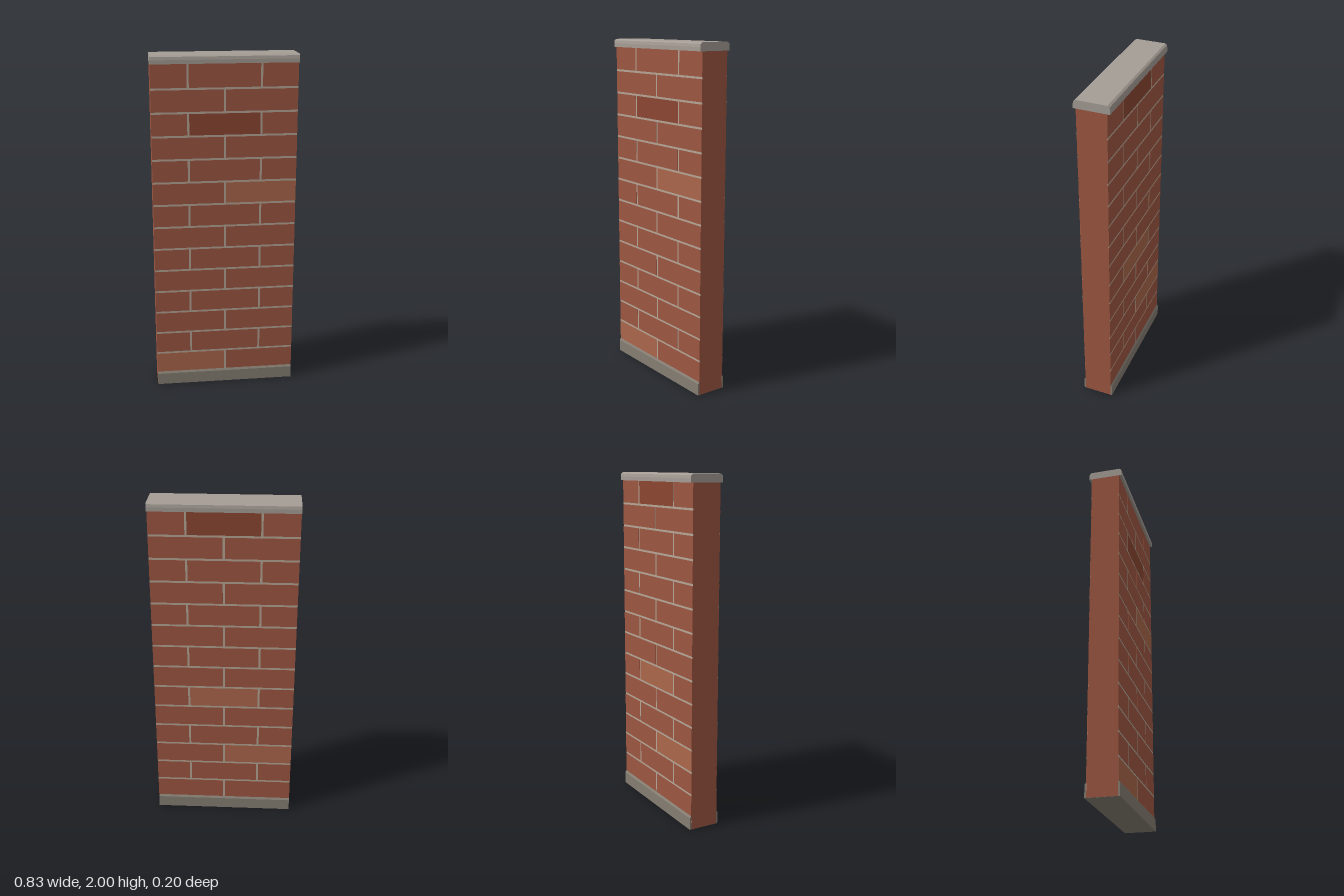
import * as THREE from 'three';

const W = 0.83, HALF = W / 2;       // wall width
const FACE = 0.085;                 // brick face depth
const Y0 = 0.075, ROWS = 14, PITCH = 0.1338, JOINT = 0.012;

const mat = (color) => new THREE.MeshStandardMaterial({ color });
const brickMat = mat(0x9d5641);
const lightMat = mat(0xab664a);
const darkMat = mat(0x8c4632);
const mortarMat = mat(0xb5a695);
const capMat = mat(0xa59d95);
const baseMat = mat(0x857d72);

function box(name, w, h, d, x, y, z, material) {
  const mesh = new THREE.Mesh(new THREE.BoxGeometry(w, h, d), material);
  mesh.name = name;
  mesh.position.set(x, y, z);
  return mesh;
}

// Extrudes a mirrored (z, y) half profile along x.
function molding(name, half, length, material) {
  const points = [...half, ...half.map(([z, y]) => [-z, y]).reverse()];
  const shape = new THREE.Shape(points.map(([z, y]) => new THREE.Vector2(z, y)));
  const geo = new THREE.ExtrudeGeometry(shape, { depth: length, bevelEnabled: false });
  geo.translate(0, 0, -length / 2);
  geo.rotateY(Math.PI / 2);
  const mesh = new THREE.Mesh(geo, material);
  mesh.name = name;
  return mesh;
}

// One face of running-bond bricks over a mortar bed; side is +1 front, -1 back.
function brickFace(name, side, tints) {
  const group = new THREE.Group();
  group.name = name;
  const top = 1.955;
  group.add(box('mortarBed', W - 0.0004, top - 0.04, 0.002, 0, (top + 0.04) / 2, side * (FACE - 0.002), mortarMat));
  for (let row = 0; row < ROWS; row++) {
    const bottom = Y0 + row * PITCH + (row ? JOINT / 2 : 0);
    const upper = row === ROWS - 1 ? top : Y0 + (row + 1) * PITCH - JOINT / 2;
    const edges = row % 2 ? [-HALF, -HALF / 2, HALF / 2, HALF] : [-HALF, 0, HALF];
    for (let i = 0; i < edges.length - 1; i++) {
      const left = edges[i] + (i ? JOINT / 2 : 0);
      const right = edges[i + 1] - (i < edges.length - 2 ? JOINT / 2 : 0);
      group.add(box('brick', right - left, upper - bottom, 0.003,
        (left + right) / 2, (bottom + upper) / 2, side * (FACE - 0.0015),
        tints[`${row}:${i}`] || brickMat));
    }
  }
  return group;
}

export function createModel() {
  const model = new THREE.Group();
  model.name = 'brickWall';

  // Solid core with plain brick-coloured ends
  model.add(box('wallCore', W, 1.96, 0.165, 0, 0.981, 0, brickMat));

  // Brickwork, with a few odd-coloured bricks on each face
  model.add(brickFace('frontBricks', 1, { '0:0': lightMat, '8:1': lightMat, '11:1': darkMat }));
  model.add(brickFace('backBricks', -1, { '2:0': lightMat, '5:1': lightMat, '13:1': darkMat }));

  // Stone plinth, with the core showing at its ends
  model.add(molding('plinth', [[0.093, 0], [0.093, 0.07], [0.085, 0.082]], W - 0.001, baseMat));

  // Coping stone with softened top edges
  model.add(molding('coping', [[0.1, 1.953], [0.1, 1.975], [0.097, 1.992], [0.086, 2]], W + 0.001, capMat));

  return model;
}
